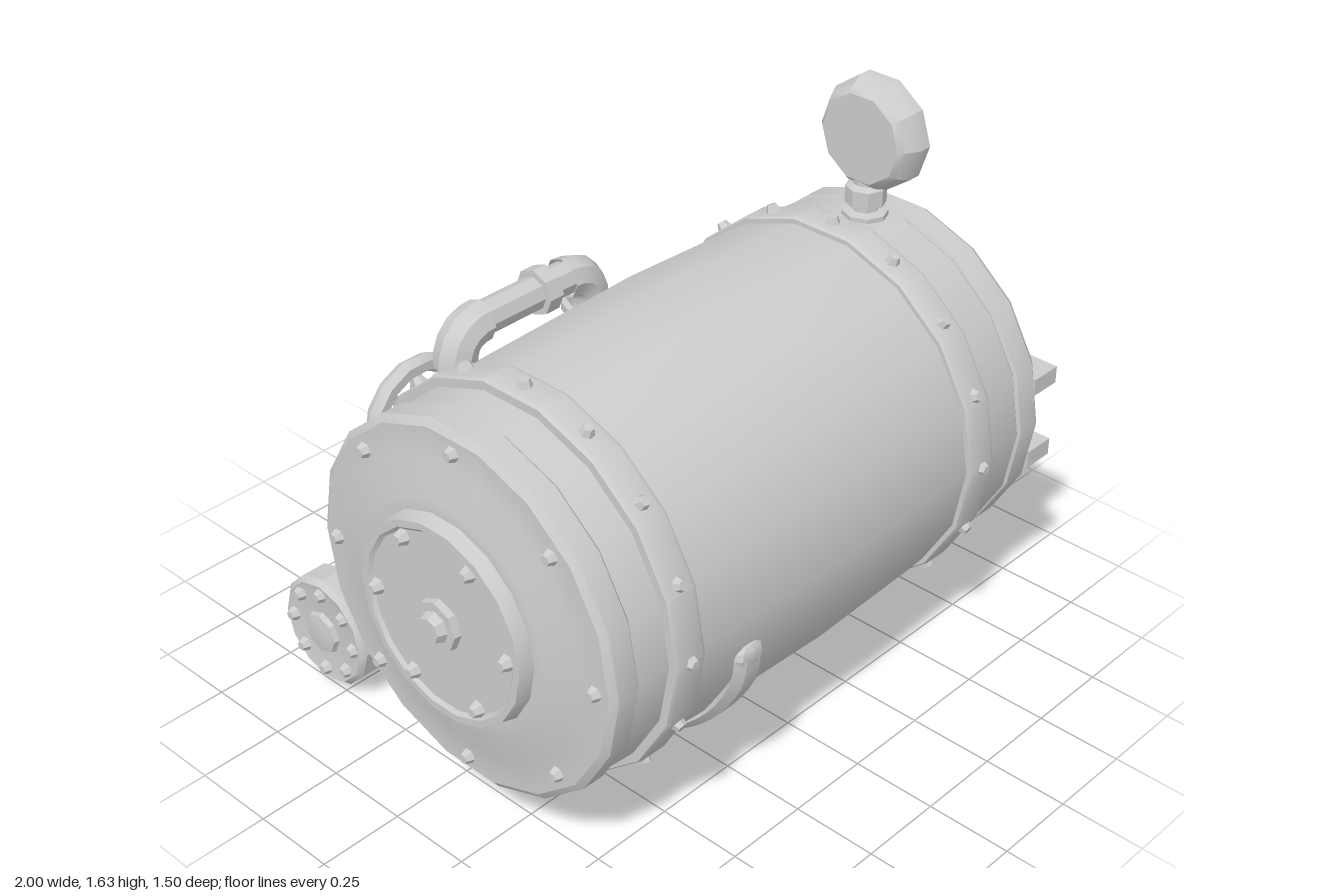
import * as THREE from 'three';
import { toCreasedNormals } from 'three/addons/utils/BufferGeometryUtils.js';

const grey = new THREE.MeshStandardMaterial({ color: 0xcccccc, side: THREE.DoubleSide });

function add(parent, name, geometry, x = 0, y = 0, z = 0) {
  const mesh = new THREE.Mesh(toCreasedNormals(geometry, 0.5), grey);
  mesh.name = name;
  mesh.position.set(x, y, z);
  parent.add(mesh);
  return mesh;
}

// Group whose local +y points along the given world axis
function assembly(parent, name, axis, x, y, z) {
  const g = new THREE.Group();
  g.name = name;
  g.position.set(x, y, z);
  if (axis === 'x') g.rotation.z = -Math.PI / 2;
  if (axis === '-x') g.rotation.z = Math.PI / 2;
  if (axis === 'z') g.rotation.x = Math.PI / 2;
  if (axis === '-z') g.rotation.x = -Math.PI / 2;
  parent.add(g);
  return g;
}

// Turned part: profile of [height, radius], closed to the axis at both ends
function turned(parent, name, profile, sides) {
  const pts = profile.map(([h, r]) => new THREE.Vector2(r, h));
  pts.unshift(new THREE.Vector2(0, profile[0][0]));
  pts.push(new THREE.Vector2(0, profile[profile.length - 1][0]));
  return add(parent, name, new THREE.LatheGeometry(pts, sides));
}

const boltGeometry = () => new THREE.CylinderGeometry(0.014, 0.024, 0.026, 6);

// Bolts standing on a flat face
function boltCircle(parent, h, r, n, offset = 0) {
  for (let i = 0; i < n; i++) {
    const a = offset + (i / n) * Math.PI * 2;
    add(parent, 'bolt', boltGeometry(), Math.cos(a) * r, h + 0.008, Math.sin(a) * r);
  }
}

// Handwheel in the local xz plane
function handwheel(parent, h, radius, spokes, hubLow, hubHigh) {
  const g = new THREE.Group();
  g.name = 'handwheel';
  const t = 0.029;
  add(g, 'wheelRim', new THREE.TorusGeometry(radius - t, t, 6, 14).rotateX(Math.PI / 2), 0, h, 0);
  for (let i = 0; i < spokes; i++) {
    const len = radius - t;
    add(g, 'spoke', new THREE.BoxGeometry(len, 0.022, 0.028).translate(len / 2, 0, 0), 0, h, 0)
      .rotation.y = (i / spokes) * Math.PI * 2;
  }
  turned(g, 'wheelHub', [[hubLow, 0.035], [h - 0.02, 0.035], [h - 0.02, 0.055],
    [hubHigh - 0.015, 0.05], [hubHigh, 0.035]], 8);
  parent.add(g);
}

function buildTank(root) {
  const tank = assembly(root, 'tank', 'x', 0, 0.71, 0.175);
  turned(tank, 'barrel', [
    [-0.955, 0.255], [-0.965, 0.265], [-0.965, 0.285], [-0.925, 0.295], [-0.925, 0.33], [-0.89, 0.42],
    [-0.89, 0.51], [-0.875, 0.53], [-0.81, 0.53], [-0.8, 0.52], [-0.72, 0.525],
    [-0.4, 0.542], [0, 0.552], [0.4, 0.54], [0.7, 0.525], [0.71, 0.518], [0.715, 0.528],
    [0.785, 0.528], [0.81, 0.51], [0.81, 0.42], [0.8, 0.41], [0.83, 0.36], [0.85, 0.29],
  ], 18);

  // Riveted bands
  for (const h of [-0.65, 0.505]) {
    turned(tank, 'band', [[h - 0.05, 0.52], [h - 0.05, 0.55], [h - 0.04, 0.555],
      [h + 0.04, 0.555], [h + 0.05, 0.55], [h + 0.05, 0.52]], 18);
    for (let i = 0; i < 16; i++) {
      const a = (i / 16) * Math.PI * 2;
      const rivet = add(tank, 'rivet', boltGeometry(), Math.cos(a) * 0.555, h, Math.sin(a) * 0.555);
      rivet.quaternion.setFromUnitVectors(new THREE.Vector3(0, 1, 0),
        new THREE.Vector3(Math.cos(a), 0, Math.sin(a)));
    }
  }

  // Door with hub wheel
  turned(tank, 'door', [[0.82, 0.29], [0.865, 0.29], [0.88, 0.27], [0.88, 0.225], [0.9, 0.215],
    [0.9, 0.18], [0.875, 0.16]], 14);
  boltCircle(tank, 0.88, 0.25, 8);
  boltCircle(tank, 0.81, 0.465, 8);
  handwheel(tank, 0.945, 0.215, 6, 0.87, 1.0);

  // Closed end
  const end = assembly(tank, 'closedEnd', 'y', 0, 0, 0);
  end.rotation.x = Math.PI;
  boltCircle(end, 0.96, 0.235, 6, 0.5);
  boltCircle(end, 0.89, 0.465, 8);
  turned(end, 'endHub', [[0.94, 0.075], [0.975, 0.07], [0.975, 0.045], [1.0, 0.035]], 8);

  // Door hinges
  for (const y of [0.818, 0.58]) {
    add(root, 'hingeArm', new THREE.BoxGeometry(0.03, 0.052, 0.27), 0.875, y, 0.55);
    add(root, 'hingeFoot', new THREE.BoxGeometry(0.1, 0.052, 0.06), 0.84, y, 0.655);
    add(root, 'hingePin', boltGeometry().rotateZ(-Math.PI / 2), 0.895, y, 0.455);
  }

  // Curved ribs low on both flanks
  for (const side of [1, -1]) {
    const pts = [];
    for (let i = 0; i <= 8; i++) {
      const a = -0.24 - i * 0.125;
      const r = i === 0 ? 0.535 : 0.548;
      pts.push(new THREE.Vector3(0, Math.sin(a) * r, side * Math.cos(a) * r));
    }
    const rib = new THREE.TubeGeometry(new THREE.CatmullRomCurve3(pts), 12, 0.024, 6);
    add(root, 'rib', rib.scale(2.2, 1, 1), -0.405, 0.71, 0.175);
    const cap = new THREE.SphereGeometry(0.024, 8, 6).scale(2.2, 1.6, 1);
    add(root, 'ribEnd', cap, -0.405, 0.71 + pts[0].y, 0.175 + pts[0].z);
  }
}

// Round slotted hatch under the door
function buildVent(root) {
  const vent = assembly(root, 'vent', 'x', 0, 0.25, 0.18);
  turned(vent, 'ventHousing', [[0.74, 0.22], [0.77, 0.24], [0.85, 0.25], [0.9, 0.25], [0.925, 0.235],
    [0.925, 0.185], [0.93, 0.175], [0.92, 0.165], [0.895, 0.16]], 12);
  boltCircle(vent, 0.922, 0.2, 8);
  for (let i = -2; i <= 2; i++) {
    const len = Math.abs(i) === 2 ? 0.15 : 0.18;
    add(vent, 'slat', new THREE.BoxGeometry(len, 0.025, 0.024), 0, 0.903, i * 0.045).rotation.x = 0.4;
  }
}

function buildGauge(root) {
  const neck = assembly(root, 'gaugeNeck', 'y', 0.645, 0, 0.175);
  turned(neck, 'neck', [[1.2, 0.065], [1.245, 0.065], [1.25, 0.038], [1.265, 0.038],
    [1.27, 0.058], [1.32, 0.058], [1.33, 0.04], [1.36, 0.04]], 8);
  const gauge = assembly(root, 'gauge', 'x', 0, 1.47, 0.175);
  turned(gauge, 'gaugeCase', [[0.605, 0.13], [0.62, 0.145], [0.66, 0.165], [0.7, 0.165],
    [0.71, 0.155], [0.71, 0.145], [0.695, 0.138]], 10);
  add(gauge, 'needle', new THREE.BoxGeometry(0.018, 0.012, 0.135), 0.025, 0.7, 0.04)
    .rotation.y = Math.atan2(0.07, 0.115);
  add(gauge, 'needlePivot', new THREE.CylinderGeometry(0.02, 0.02, 0.016, 8), -0.01, 0.7, -0.015);
}

function buildPump(root) {
  const y = 0.2, z = -0.545;
  const pump = assembly(root, 'pump', 'x', 0, y, z);
  turned(pump, 'pumpBody', [[-0.775, 0.13], [-0.78, 0.155], [-0.765, 0.17], [-0.69, 0.17], [-0.68, 0.15],
    [-0.6, 0.15], [-0.575, 0.18], [-0.5, 0.19], [-0.3, 0.19], [-0.225, 0.17], [-0.215, 0.19],
    [-0.165, 0.19], [-0.16, 0.175], [-0.15, 0.19], [-0.105, 0.185], [-0.1, 0.14]], 12);
  boltCircle(pump, -0.1, 0.16, 8);
  const cap = assembly(root, 'pumpCap', '-x', 0, y, z);
  turned(cap, 'capHub', [[0.76, 0.07], [0.79, 0.06], [0.795, 0.03]], 8);
  boltCircle(cap, 0.775, 0.125, 8);

  // Side ports
  for (const axis of ['z', '-z']) {
    const port = assembly(root, 'sidePort', axis, -0.41, y, z);
    turned(port, 'portFlange', [[0.1, 0.14], [0.17, 0.135], [0.195, 0.105], [0.2, 0.07], [0.19, 0.06]], 8);
    turned(port, 'portPlug', [[0.18, 0.045], [0.208, 0.035]], 6);
  }

  // Neck on top, below the handwheel
  const top = assembly(root, 'topPort', 'y', -0.35, 0, -0.595);
  turned(top, 'topFlange', [[0.3, 0.09], [0.4, 0.065], [0.445, 0.065], [0.45, 0.085],
    [0.495, 0.085], [0.505, 0.07]], 10);
}

function buildPiping(root) {
  const z = -0.46, top = 1.005, r = 0.058;
  // Pipe from the pump, up, across and down to the valve
  const corner = (x, y, dx1, dy1, dx2, dy2) => new THREE.QuadraticBezierCurve3(
    new THREE.Vector3(x + dx1, y + dy1, z), new THREE.Vector3(x, y, z), new THREE.Vector3(x + dx2, y + dy2, z));
  const b = 0.1;
  for (const c of [corner(0.195, 0.2, -b, 0, 0, b), corner(0.195, top, 0, -b, -b, 0),
    corner(-0.315, top, b, 0, 0, -b)]) {
    add(root, 'elbow', new THREE.TubeGeometry(c, 5, 0.062, 8));
  }
  const riser = assembly(root, 'riser', 'y', 0.195, 0, z);
  turned(riser, 'riserPipe', [[0.29, 0.068], [0.42, 0.068], [0.435, 0.078], [0.455, 0.078], [0.46, 0.066],
    [0.475, 0.066], [0.48, 0.078], [0.5, 0.072], [0.505, 0.055], [0.785, 0.055], [0.79, 0.072],
    [0.815, 0.078], [0.82, 0.066], [0.86, 0.066], [0.865, 0.076], [0.89, 0.076], [0.895, r], [0.92, r]], 8);
  const cross = assembly(root, 'crossPipe', 'x', 0, top, z);
  turned(cross, 'crossTube', [[-0.23, 0.05], [-0.015, 0.05], [-0.015, 0.07], [0.035, 0.07], [0.035, 0.05], [0.11, 0.05]], 8);
  const drop = assembly(root, 'dropPipe', 'y', -0.315, 0, z);
  turned(drop, 'dropTube', [[0.66, 0.05], [0.92, 0.05]], 8);
  const inlet = assembly(root, 'pumpInlet', 'x', 0, 0.2, -0.48);
  turned(inlet, 'inletReducer', [[-0.12, 0.13], [-0.06, 0.115], [-0.05, 0.085], [0.01, 0.08],
    [0.015, 0.07], [0.12, 0.065]], 10);

  // Valve with handwheel facing the back
  const valve = assembly(root, 'valve', '-z', -0.335, 0.69, 0);
  turned(valve, 'valveBody', [[0.34, 0.07], [0.39, 0.07], [0.4, 0.085], [0.51, 0.085], [0.54, 0.05], [0.56, 0.045]], 8);
  handwheel(valve, 0.608, 0.188, 8, 0.54, 0.655);
}

export function createModel() {
  const root = new THREE.Group();
  root.name = 'pressureTank';
  buildTank(root);
  buildVent(root);
  buildGauge(root);
  buildPump(root);
  buildPiping(root);
  return root;
}
